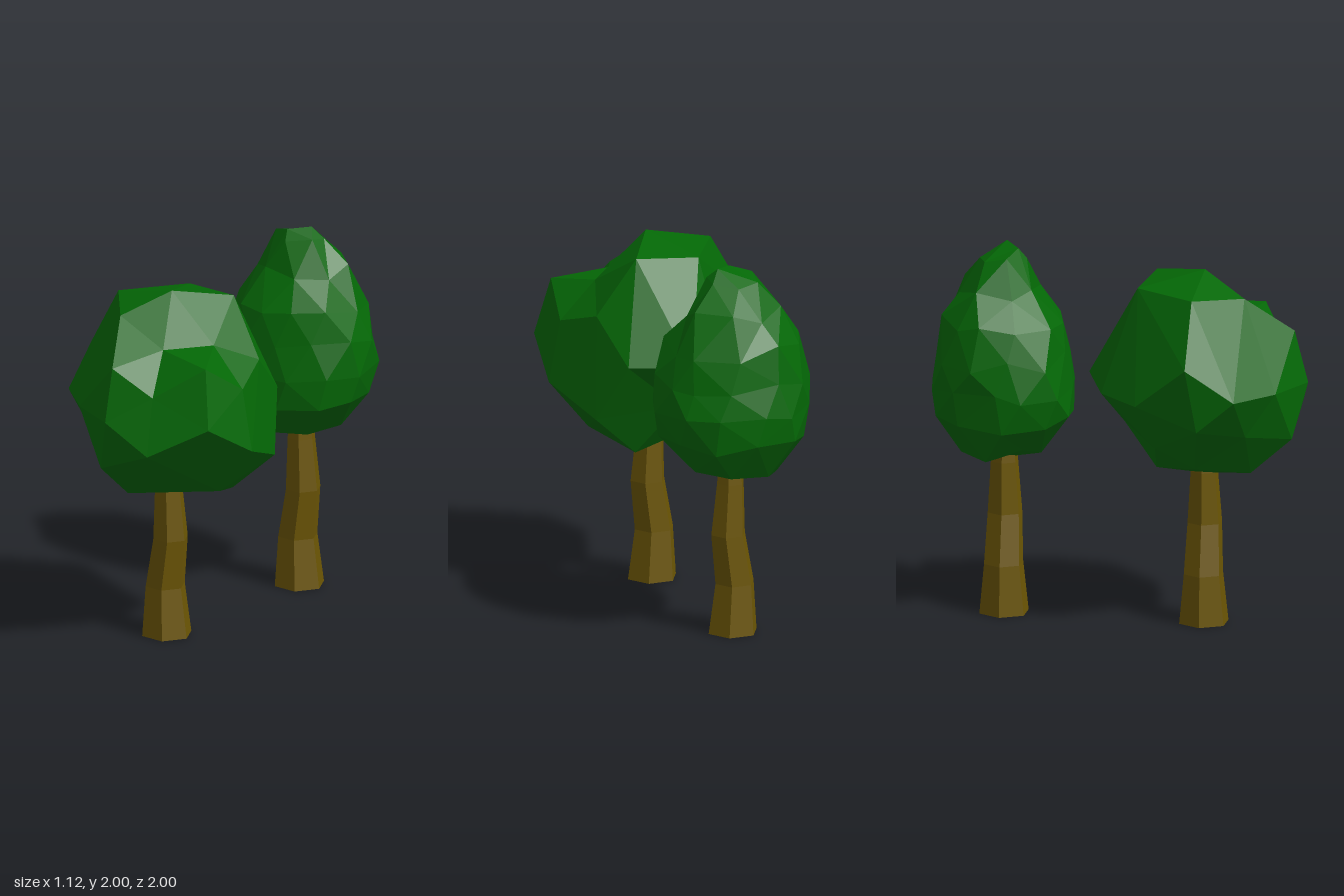
import * as THREE from 'three';
import { ConvexGeometry } from 'three/addons/geometries/ConvexGeometry.js';

const leaf = new THREE.MeshStandardMaterial({ color: 0x046806, flatShading: true });
const bark = new THREE.MeshStandardMaterial({ color: 0x6c5604, flatShading: true });

// Faceted closed surface around a centre: connect the points as seen from the
// centre, then push each corner out to its real distance (so dents are allowed).
function starSurface(center, points) {
  const dirs = points.map(p => p.clone().sub(center).normalize());
  const geo = new ConvexGeometry(dirs);
  const pos = geo.attributes.position;
  const v = new THREE.Vector3();
  for (let i = 0; i < pos.count; i++) {
    v.fromBufferAttribute(pos, i);
    let best = 0;
    dirs.forEach((d, k) => { if (d.dot(v) > dirs[best].dot(v)) best = k; });
    pos.setXYZ(i, ...points[best].toArray());
  }
  geo.computeVertexNormals();
  return geo;
}

// Six-sided, tapering trunk with a slight bend: [y, centre x, radius]
function trunk(z) {
  const rings = [[0, -0.035, 0.137], [0.27, -0.046, 0.109], [0.54, -0.009, 0.096], [0.82, -0.022, 0.076], [1.0, -0.022, 0.06]];
  const geo = new THREE.CylinderGeometry(1, 1, 4, 6, 4);
  geo.rotateY(Math.PI / 2);
  const pos = geo.attributes.position;
  for (let i = 0; i < pos.count; i++) {
    const [y, cx, r] = rings[Math.round(pos.getY(i) + 2)];
    pos.setXYZ(i, cx + pos.getX(i) * r, y, z + pos.getZ(i) * r);
  }
  geo.computeVertexNormals();
  return new THREE.Mesh(geo, bark);
}

// Big rounded crown with coarse facets and one dent
function roundCrown() {
  const pts = [
    // top
    [0, 1.91, 0.45], [-0.37, 1.83, 0.45], [-0.15, 1.8, 0.69], [0.18, 1.85, 0.16], [-0.16, 1.83, 0.12],
    // dent
    [0.12, 1.66, 0.66], [0.29, 1.67, 0.45], [0.44, 1.63, 0.69], [0.21, 1.46, 0.85],
    // middle
    [0.01, 1.32, 1.0], [0, 1.6, 0.93], [-0.27, 1.32, 0.88], [-0.5, 1.32, 0.7], [-0.56, 1.5, 0.45],
    [-0.44, 1.26, 0.16], [-0.24, 1.27, -0.06], [0, 1.32, -0.17], [0.31, 1.32, -0.04],
    [0.39, 1.55, 0.2], [0.49, 1.47, 0.45], [0.51, 1.32, 0.75], [0.555, 1.14, 0.45],
    // underside
    [0.24, 1.16, 0.93], [-0.08, 1.03, 0.93], [-0.28, 1.08, 0.72], [-0.5, 1.15, 0.5], [-0.3, 1.0, 0.24],
    [0, 1.06, 0.02], [0.43, 1.01, 0.12], [0.33, 0.87, 0.45], [-0.08, 0.835, 0.71],
    [-0.27, 0.89, 0.45], [-0.15, 0.86, 0.22], [0.18, 0.785, 0.17], [-0.03, 0.81, 0.45],
  ].map(p => new THREE.Vector3(...p));
  return new THREE.Mesh(starSurface(new THREE.Vector3(0, 1.35, 0.45), pts), leaf);
}

// Tall pear-shaped crown with smaller, rougher facets
function pearCrown() {
  let seed = 7;
  const rand = () => (seed = (seed * 16807) % 2147483647) / 2147483647 - 0.5;
  // [y, front z, back z, half width, corners]
  const rings = [[0.9, -0.42, -0.86, 0.23, 7], [1.08, -0.24, -0.99, 0.385, 11], [1.25, -0.24, -1.0, 0.415, 12],
    [1.42, -0.265, -0.97, 0.4, 12], [1.6, -0.31, -0.935, 0.35, 11], [1.77, -0.435, -0.85, 0.25, 8], [1.93, -0.5, -0.75, 0.135, 6]];
  const pts = [[-0.03, 0.84, -0.62], [0.05, 2.0, -0.62], [-0.05, 1.985, -0.54]].map(p => new THREE.Vector3(...p));
  rings.forEach(([y, front, back, w, n], k) => {
    for (let i = 0; i < n; i++) {
      const a = ((i + (k % 2) / 2 + rand() * 0.4) / n) * Math.PI * 2;
      const s = Math.sin(a), c = Math.cos(a);
      // slightly squared outline with an uneven surface
      const r = (1 + rand() * 0.1) / (Math.abs(s) ** 2.2 + Math.abs(c) ** 2.2) ** (1 / 2.2);
      const z = (front + back) / 2 + (c * r * (front - back)) / 2;
      pts.push(new THREE.Vector3(-0.03 + s * r * w, y + rand() * 0.07, THREE.MathUtils.clamp(z, -1, -0.25)));
    }
  });
  return new THREE.Mesh(starSurface(new THREE.Vector3(-0.03, 1.36, -0.62), pts), leaf);
}

export function createModel() {
  const model = new THREE.Group();
  model.name = 'trees';
  const trees = [['frontTree', 0.45, roundCrown()], ['rearTree', -0.62, pearCrown()]];
  for (const [name, z, crown] of trees) {
    const tree = new THREE.Group();
    tree.name = name;
    const stem = trunk(z);
    stem.name = 'trunk';
    crown.name = 'crown';
    tree.add(stem, crown);
    model.add(tree);
  }
  return model;
}
